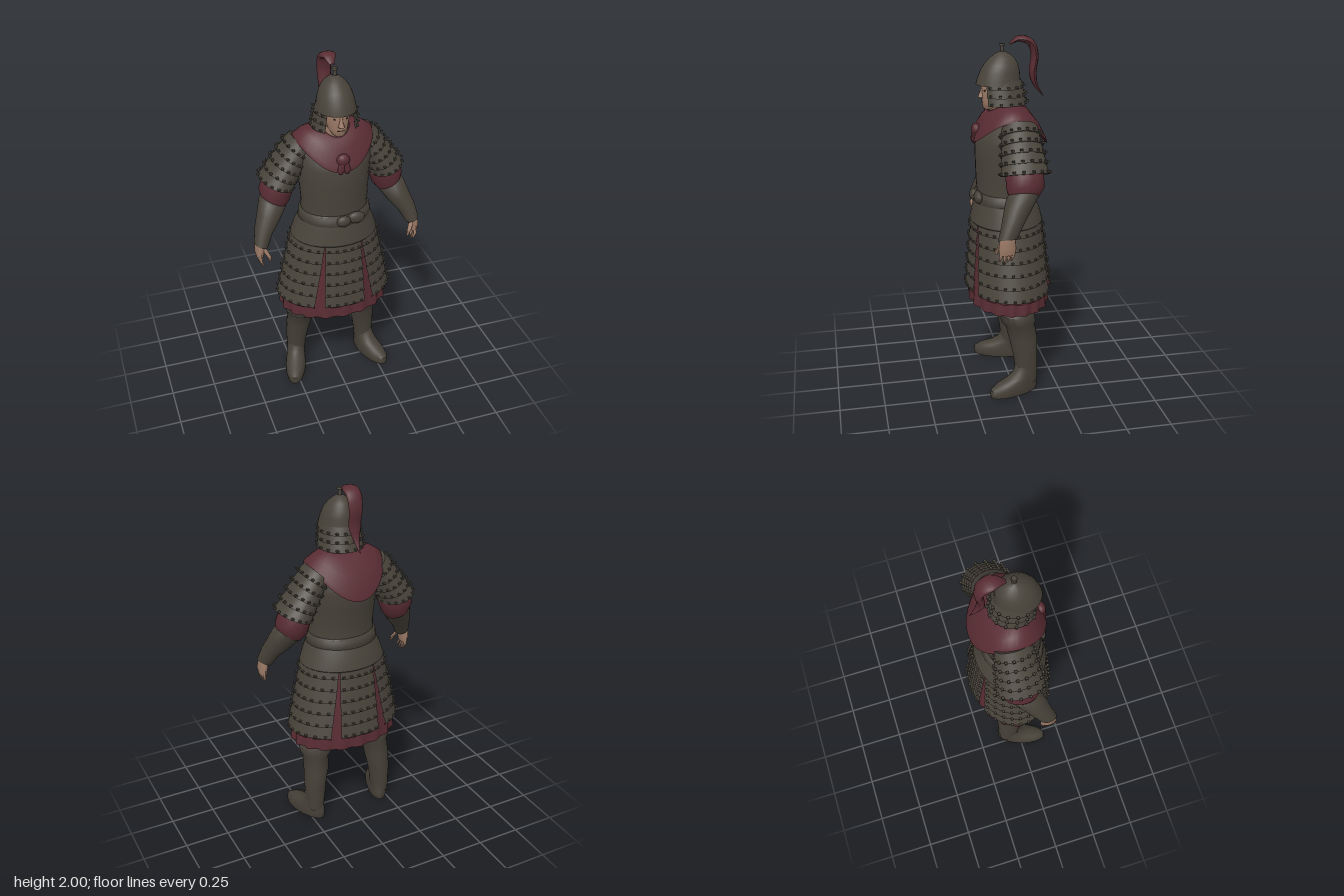
import * as THREE from 'three';
import { mergeGeometries, toCreasedNormals } from 'three/addons/utils/BufferGeometryUtils.js';

const TAU = Math.PI * 2;
const material = (name, color, side = THREE.FrontSide) => {
  const m = new THREE.MeshStandardMaterial({ color, side });
  m.name = name;
  return m;
};

// A ring is [x, y, z, radiusX, radiusZ, tilt, startAngle, endAngle, ripple]; angle 0 faces +z.
const full = (r) => [r[0], r[1], r[2], r[3], r[4], r[5] ?? 0, r[6] ?? 0, r[7] ?? TAU, r[8] ?? 0];
function ringPoint(ring, t, grow = 0) {
  const [x, y, z, rx, rz, tilt, a0, a1, ripple] = full(ring);
  const a = a0 + (a1 - a0) * t;
  const k = 1 + ripple * Math.cos(a * 18);
  const lx = (rx + grow) * k * Math.sin(a), lz = (rz + grow) * k * Math.cos(a);
  return [x + lx * Math.cos(tilt), y + lx * Math.sin(tilt), z + lz];
}

// Skin a stack of rings listed from bottom to top.
function loft(rings, n = 24, caps = true, crease = 0.8) {
  const pos = [], idx = [], w = n + 1;
  rings.forEach((r) => { for (let i = 0; i <= n; i++) pos.push(...ringPoint(r, i / n)); });
  for (let j = 0; j < rings.length - 1; j++) {
    for (let i = 0; i < n; i++) {
      const a = j * w + i, b = a + w;
      idx.push(a, a + 1, b + 1, a, b + 1, b);
    }
  }
  if (caps) {
    const top = (rings.length - 1) * w, c = pos.length / 3;
    pos.push(...rings[0].slice(0, 3), ...rings[rings.length - 1].slice(0, 3));
    for (let i = 0; i < n; i++) idx.push(c, i + 1, i, c + 1, top + i, top + i + 1);
  }
  const g = new THREE.BufferGeometry();
  g.setAttribute('position', new THREE.Float32BufferAttribute(pos, 3));
  g.setIndex(idx);
  return toCreasedNormals(g, crease);
}

// Overlapping rows of plates between two rings: each row flares at its lower edge.
function tierRings(bottom, top, count, flare) {
  const b = full(bottom), t = full(top), out = [];
  const mix = (k) => b.map((v, i) => v + (t[i] - v) * k);
  for (let i = 0; i < count; i++) {
    const low = mix(i / count);
    low[3] += flare;
    low[4] += flare;
    out.push(low, mix((i + 1) / count));
  }
  return out;
}

// Small rivets along every plate row.
function studs(rings, count) {
  const list = [];
  for (let j = 0; j < rings.length; j += 2) {
    for (let i = 0; i < count; i++) {
      const p = ringPoint(rings[j], (i + 0.5) / count, 0.001);
      list.push(new THREE.BoxGeometry(0.014, 0.009, 0.014).translate(p[0], p[1] + 0.012, p[2]));
    }
  }
  return mergeGeometries(list);
}

export function createModel() {
  const model = new THREE.Group();
  model.name = 'armouredSoldier';
  const armour = material('armour plates', 0x48433a, THREE.DoubleSide);
  const cloth = material('dark red cloth', 0x582c32, THREE.DoubleSide);
  const skin = material('skin', 0x9c7a66);
  const leather = material('boot leather', 0x454037);
  const dark = material('eye brown', 0x2a211c);

  const add = (name, geometry, mat, parent = model) => {
    const m = new THREE.Mesh(geometry, mat);
    m.name = name;
    parent.add(m);
    return m;
  };
  const ball = (name, mat, p, s, parent) => {
    const m = add(name, new THREE.SphereGeometry(1, 16, 12), mat, parent);
    m.position.set(...p);
    m.scale.set(...s);
    return m;
  };
  const plated = (name, bottom, top, rows, flare, n, rivets, caps = false) => {
    const rings = tierRings(bottom, top, rows, flare);
    add(name, loft(rings, n, caps, 0.6), armour);
    add(name + 'Rivets', studs(rings, rivets), armour);
  };

  // Torso, belt and hip guard
  add('cuirass', loft([
    [0, 1.04, 0.015, 0.2, 0.165], [0, 1.13, 0.02, 0.186, 0.15], [0, 1.22, 0.022, 0.188, 0.155],
    [0, 1.33, 0.015, 0.195, 0.165], [0, 1.43, 0.005, 0.205, 0.177], [0, 1.5, 0, 0.205, 0.16],
    [0, 1.55, -0.005, 0.18, 0.12], [0, 1.6, -0.005, 0.12, 0.08]], 32), armour);
  add('belt', loft([[0, 1.085, 0.02, 0.192, 0.165], [0, 1.1, 0.02, 0.204, 0.174],
    [0, 1.14, 0.02, 0.2, 0.17], [0, 1.155, 0.02, 0.186, 0.155]], 32), leather);
  add('hipGuard', loft([[0, 0.975, 0.01, 0.238, 0.195], [0, 0.985, 0.01, 0.247, 0.203],
    [0, 1.05, 0.013, 0.225, 0.188], [0, 1.11, 0.02, 0.2, 0.168]], 32, false), armour);
  ball('beltKnot', leather, [0, 1.13, 0.192], [0.04, 0.033, 0.024]);
  ball('beltKnotLoop', leather, [0.075, 1.135, 0.18], [0.05, 0.035, 0.024]);

  // Pleated cloth skirt beneath four plated panels
  add('underSkirt', loft([[0, 0.505, 0, 0.312, 0.222, 0, 0, TAU, 0.03],
    [0, 0.6, 0, 0.306, 0.218, 0, 0, TAU, 0.02], [0, 0.8, 0.005, 0.262, 0.196, 0, 0, TAU, 0.005],
    [0, 1.02, 0.01, 0.22, 0.178]], 108, false), cloth);
  for (const [name, mid, low, high] of [['frontSkirtPanel', 0, 0.37, 0.44],
    ['leftSkirtPanel', TAU / 4, 1.01, 1.12], ['backSkirtPanel', TAU / 2, 0.37, 0.44],
    ['rightSkirtPanel', -TAU / 4, 1.01, 1.12]]) {
    plated(name, [0, 0.59, 0, 0.323, 0.232, 0, mid - low, mid + low],
      [0, 1.01, 0.01, 0.232, 0.19, 0, mid - high, mid + high], 6, 0.009, 20, low > 0.5 ? 10 : 5);
    add(name + 'Lining', loft([[0, 0.575, 0, 0.318, 0.227, 0, mid - low, mid + low],
      [0, 0.6, 0, 0.325, 0.234, 0, mid - low, mid + low]], 20, false), cloth);
  }

  // Hooded scarf, sagging at the front and back
  const mantle = loft([[0, 1.565, -0.01, 0.19, 0.18], [0, 1.575, -0.01, 0.218, 0.208],
    [0, 1.595, -0.01, 0.212, 0.2], [0, 1.625, -0.01, 0.165, 0.16], [0, 1.65, 0.01, 0.105, 0.115],
    [0, 1.645, 0.02, 0.08, 0.09], [0, 1.59, 0.02, 0.07, 0.075]], 40, false);
  const mp = mantle.attributes.position;
  for (let i = 0; i < mp.count; i++) mp.setY(i, mp.getY(i) - 3.6 * mp.getZ(i) ** 2);
  add('scarf', toCreasedNormals(mantle, 0.9), cloth);
  ball('scarfKnot', cloth, [0, 1.5, 0.175], [0.036, 0.034, 0.026]);
  for (const s of [-1, 1]) {
    add('scarfTail', loft([[s * 0.018, 1.425, 0.19, 0.008, 0.006], [s * 0.016, 1.45, 0.19, 0.022, 0.013],
      [s * 0.006, 1.5, 0.183, 0.013, 0.01]], 10), cloth);
  }

  // Head and face
  add('neck', loft([[0, 1.5, 0.03, 0.075, 0.075], [0, 1.58, 0.04, 0.058, 0.06],
    [0, 1.68, 0.045, 0.055, 0.06]], 20), skin);
  add('head', loft([[0, 1.61, 0.105, 0.022, 0.022], [0, 1.622, 0.095, 0.037, 0.042],
    [0, 1.65, 0.078, 0.053, 0.063], [0, 1.69, 0.068, 0.063, 0.074], [0, 1.73, 0.06, 0.069, 0.083],
    [0, 1.8, 0.05, 0.065, 0.08]], 24, true, 1.2), skin);
  add('nose', loft([[0, 1.668, 0.135, 0.012, 0.01], [0, 1.676, 0.14, 0.017, 0.024],
    [0, 1.7, 0.138, 0.01, 0.016], [0, 1.735, 0.135, 0.007, 0.009]], 12), skin);
  add('mouth', new THREE.BoxGeometry(0.036, 0.004, 0.006).translate(0, 1.65, 0.138), dark);
  for (const s of [-1, 1]) ball('eye', dark, [s * 0.028, 1.716, 0.13], [0.012, 0.005, 0.006]);

  // Helmet with plated neck guard, spike and plume
  add('helmet', loft([[0, 1.748, 0.05, 0.1, 0.116], [0, 1.745, 0.05, 0.108, 0.123],
    [0, 1.765, 0.05, 0.103, 0.118], [0, 1.81, 0.043, 0.095, 0.108], [0, 1.85, 0.036, 0.081, 0.092],
    [0, 1.885, 0.03, 0.058, 0.066], [0, 1.908, 0.03, 0.03, 0.034], [0, 1.918, 0.03, 0.012, 0.013]],
  32, false), armour);
  plated('neckGuard', [0, 1.64, 0.025, 0.118, 0.123, 0, 0.72, TAU - 0.72],
    [0, 1.77, 0.042, 0.1, 0.112, 0, 0.72, TAU - 0.72], 3, 0.008, 30, 12);
  add('helmetSpike', loft([[0, 1.9, 0.03, 0.016, 0.016], [0, 1.92, 0.03, 0.009, 0.009],
    [0, 1.945, 0.03, 0.009, 0.009], [0, 1.948, 0.03, 0.017, 0.017], [0, 1.958, 0.03, 0.014, 0.014]], 12), armour);

  const path = new THREE.CatmullRomCurve3([[1.955, -0.012], [1.982, -0.06], [1.96, -0.125],
    [1.89, -0.148], [1.8, -0.138], [1.73, -0.155], [1.665, -0.2]].map(([y, z]) => new THREE.Vector3(0, y, z)));
  const plume = new THREE.TubeGeometry(path, 28, 0.02, 10);
  const pp = plume.attributes.position;
  for (let i = 0; i < pp.count; i++) {
    const t = plume.attributes.uv.getX(i), c = path.getPointAt(t);
    const k = Math.min(1, 0.25 + t * 4, (1 - t) * 3.2 + 0.03);
    pp.setXYZ(i, pp.getX(i) * k * (2.5 - 1.1 * t), c.y + (pp.getY(i) - c.y) * k, c.z + (pp.getZ(i) - c.z) * k);
  }
  plume.computeVertexNormals();
  add('plume', plume, cloth);

  for (const s of [1, -1]) {
    const side = s > 0 ? 'left' : 'right';
    const limb = (name, rings, mat, n = 20) =>
      add(side + name, loft(rings.map(([x, y, z, rx, rz, t = 0]) => [s * x, y, z, rx, rz, s * t]), n), mat);

    // Arm: shoulder guard, puffed sleeve, bracer
    plated(side + 'ShoulderGuard', [s * 0.312, 1.318, -0.03, 0.09, 0.125, s * 0.35],
      [s * 0.172, 1.54, -0.03, 0.07, 0.095, s * 0.75], 5, 0.008, 28, 16, true);
    limb('Sleeve', [[0.335, 1.2, -0.02, 0.068, 0.078, 0.4], [0.326, 1.245, -0.03, 0.09, 0.1, 0.4],
      [0.305, 1.3, -0.03, 0.088, 0.103, 0.35], [0.27, 1.4, -0.03, 0.07, 0.09, 0.4]], cloth);
    limb('Bracer', [[0.44, 1.01, 0.09, 0.04, 0.05, 0.4], [0.414, 1.08, 0.058, 0.051, 0.06, 0.4],
      [0.372, 1.15, 0.02, 0.067, 0.076, 0.4], [0.34, 1.212, -0.012, 0.077, 0.087, 0.4],
      [0.334, 1.228, -0.018, 0.066, 0.074, 0.4]], leather);

    // Hand with four fingers and a thumb
    limb('Palm', [[0.452, 0.935, 0.092, 0.017, 0.042], [0.452, 0.97, 0.092, 0.025, 0.047],
      [0.444, 1.03, 0.09, 0.03, 0.04]], skin, 14);
    for (let f = 0; f < 4; f++) {
      const z = 0.06 + f * 0.021, tip = 0.885 + Math.abs(f - 1.6) * 0.008;
      limb('Finger', [[0.44, tip, z + 0.01, 0.005, 0.005], [0.453, tip + 0.025, z + 0.005, 0.009, 0.009],
        [0.454, 0.95, z, 0.011, 0.011]], skin, 8);
    }
    limb('Thumb', [[0.402, 0.925, 0.142, 0.006, 0.006], [0.408, 0.95, 0.138, 0.011, 0.011],
      [0.436, 1.0, 0.11, 0.015, 0.015]], skin, 8);

    // Leg: trousers, tall boot with turned cuff, foot turned outwards
    limb('Trousers', [[0.185, 0.46, -0.02, 0.08, 0.085], [0.15, 0.85, 0, 0.1, 0.11]], leather);
    limb('Boot', [[0.218, 0.06, -0.065, 0.05, 0.062], [0.215, 0.14, -0.065, 0.055, 0.065],
      [0.212, 0.22, -0.06, 0.063, 0.069], [0.2, 0.32, -0.05, 0.071, 0.081], [0.195, 0.405, -0.032, 0.074, 0.084],
      [0.19, 0.425, -0.025, 0.09, 0.097], [0.18, 0.475, -0.015, 0.101, 0.1], [0.176, 0.505, -0.02, 0.08, 0.085]], leather);
    const foot = add(side + 'Foot', loft([[0, 0, 0.08, 0.056, 0.145], [0, 0.018, 0.08, 0.06, 0.15],
      [0, 0.045, 0.078, 0.06, 0.148], [0, 0.07, 0.06, 0.057, 0.125], [0, 0.09, 0.03, 0.053, 0.093],
      [0, 0.12, 0.008, 0.052, 0.071], [0, 0.16, 0, 0.05, 0.062]], 28), leather);
    foot.position.set(s * 0.217, 0, -0.063);
    foot.rotation.y = s * 0.32;
  }
  return model;
}
